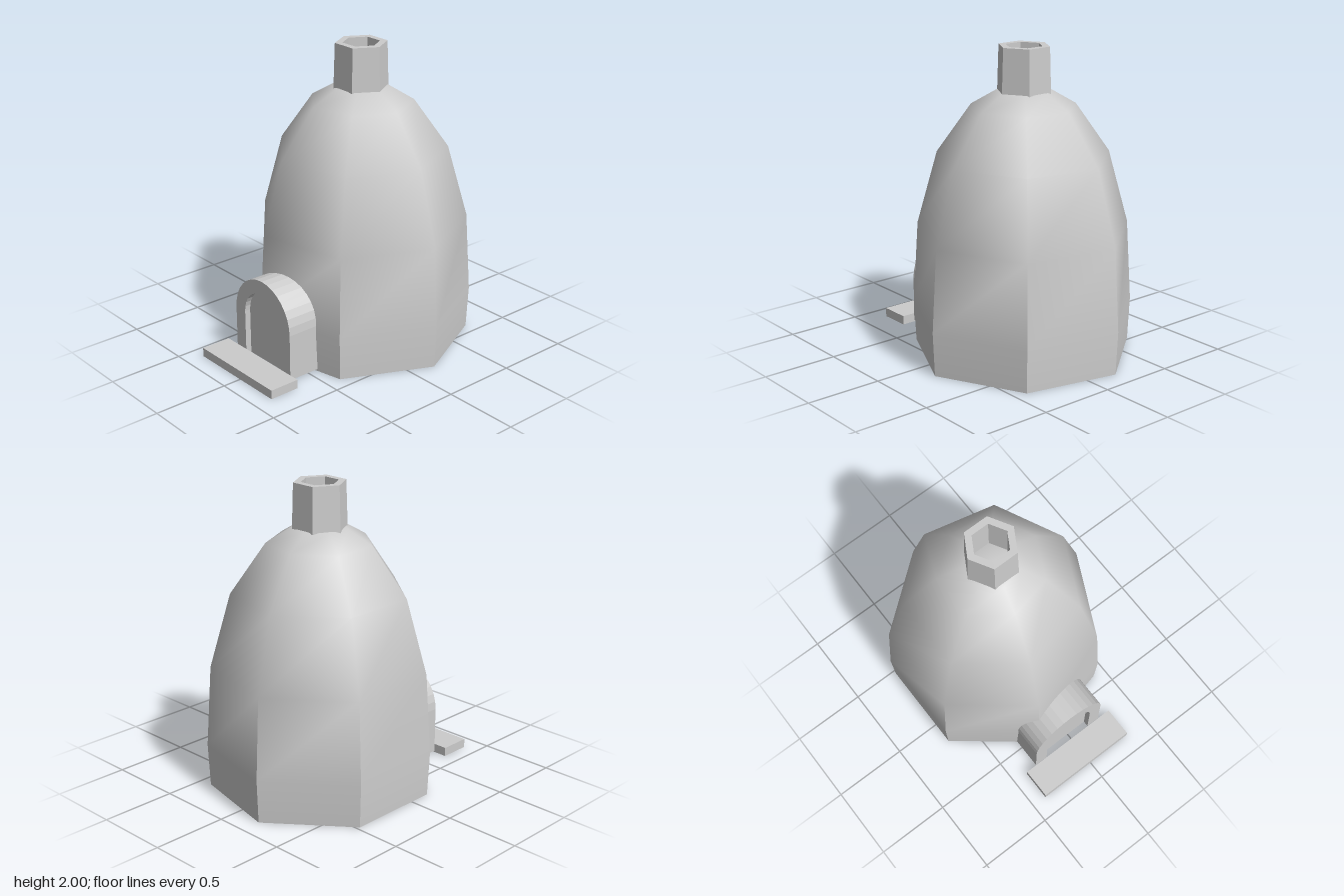
import * as THREE from 'three';

const CX = -0.037, CZ = -0.165;

// Seven-sided dome: hard vertical edges near the ground, smooth higher up
function domeGeometry(material) {
  const sides = 7;
  // radius, height, outward slope of the normal (up component), hard edge
  const rings = [
    [0.72, 0, -0.03, true], [0.733, 0.285, 0.02, true], [0.698, 0.82, 0.17, false],
    [0.563, 1.3, 0.45, false], [0.338, 1.62, 1.1, false], [0.178, 1.715, 2.8, false], [0, 1.725, 1000, false],
  ];
  const pos = [], nor = [], idx = [];
  for (let s = 0; s < sides; s++) {
    const a0 = (s / sides) * Math.PI * 2, a1 = ((s + 1) / sides) * Math.PI * 2;
    const base = pos.length / 3;
    for (const [r, y, up, hard] of rings) {
      for (const a of [a0, a1]) {
        const na = hard ? (a0 + a1) / 2 : a;
        const n = new THREE.Vector3(Math.cos(na), up, Math.sin(na)).normalize();
        pos.push(r * Math.cos(a), y, r * Math.sin(a));
        nor.push(n.x, n.y, n.z);
      }
    }
    for (let k = 0; k < rings.length - 1; k++) {
      const i = base + k * 2;
      idx.push(i, i + 2, i + 1);
      if (k < rings.length - 2) idx.push(i + 1, i + 2, i + 3);
    }
  }
  const g = new THREE.BufferGeometry();
  g.setAttribute('position', new THREE.Float32BufferAttribute(pos, 3));
  g.setAttribute('normal', new THREE.Float32BufferAttribute(nor, 3));
  g.setIndex(idx);
  return g;
}

// Round-topped doorway outline, standing on y = bottom
function archPath(path, half, bottom, spring) {
  path.moveTo(-half, bottom);
  path.lineTo(half, bottom);
  path.lineTo(half, spring);
  path.absarc(0, spring, half, 0, Math.PI, false);
  path.closePath();
  return path;
}

export function createModel() {
  const group = new THREE.Group();
  const clay = new THREE.MeshStandardMaterial({ color: 0xcccccc });
  clay.name = 'clay';
  const clayFlat = clay.clone();
  clayFlat.flatShading = true;

  const add = (name, geometry, x, y, z, material = clayFlat) => {
    const mesh = new THREE.Mesh(geometry, material);
    mesh.name = name;
    mesh.position.set(x, y, z);
    group.add(mesh);
    return mesh;
  };

  // Body and its underside
  add('domeBody', domeGeometry(), CX, 0, CZ, clay);
  const floor = new THREE.CircleGeometry(0.72, 7);
  floor.rotateX(Math.PI / 2);
  add('floor', floor, CX, 0, CZ);

  // Hollow six-sided chimney: outer wall, rim, inner wall
  const chimney = new THREE.LatheGeometry([
    new THREE.Vector2(0.178, 1.69), new THREE.Vector2(0.168, 2),
    new THREE.Vector2(0.12, 2), new THREE.Vector2(0.12, 1.69),
  ], 6);
  chimney.rotateY(Math.PI / 6);
  add('chimney', chimney, CX, 0, CZ);

  // Arched door frame with a slightly recessed door
  const frame = new THREE.Shape();
  frame.moveTo(0.275, 0.015);
  frame.lineTo(0.275, 0.325);
  frame.absarc(0, 0.325, 0.275, 0, Math.PI, false);
  frame.lineTo(-0.275, 0.015);
  frame.lineTo(-0.182, 0.015);
  frame.lineTo(-0.182, 0.325);
  frame.absarc(0, 0.325, 0.182, Math.PI, 0, true);
  frame.lineTo(0.182, 0.015);
  const extrude = (shape, depth) =>
    new THREE.ExtrudeGeometry(shape, { depth, bevelEnabled: false, curveSegments: 8 });
  add('doorFrame', extrude(frame, 0.3), CX, 0, 0.36);
  add('door', extrude(archPath(new THREE.Shape(), 0.182, 0.015, 0.325), 0.26), CX, 0, 0.36);

  // Doorstep
  add('doorstep', new THREE.BoxGeometry(0.72, 0.06, 0.205), -0.038, 0.03, 0.773);

  return group;
}
